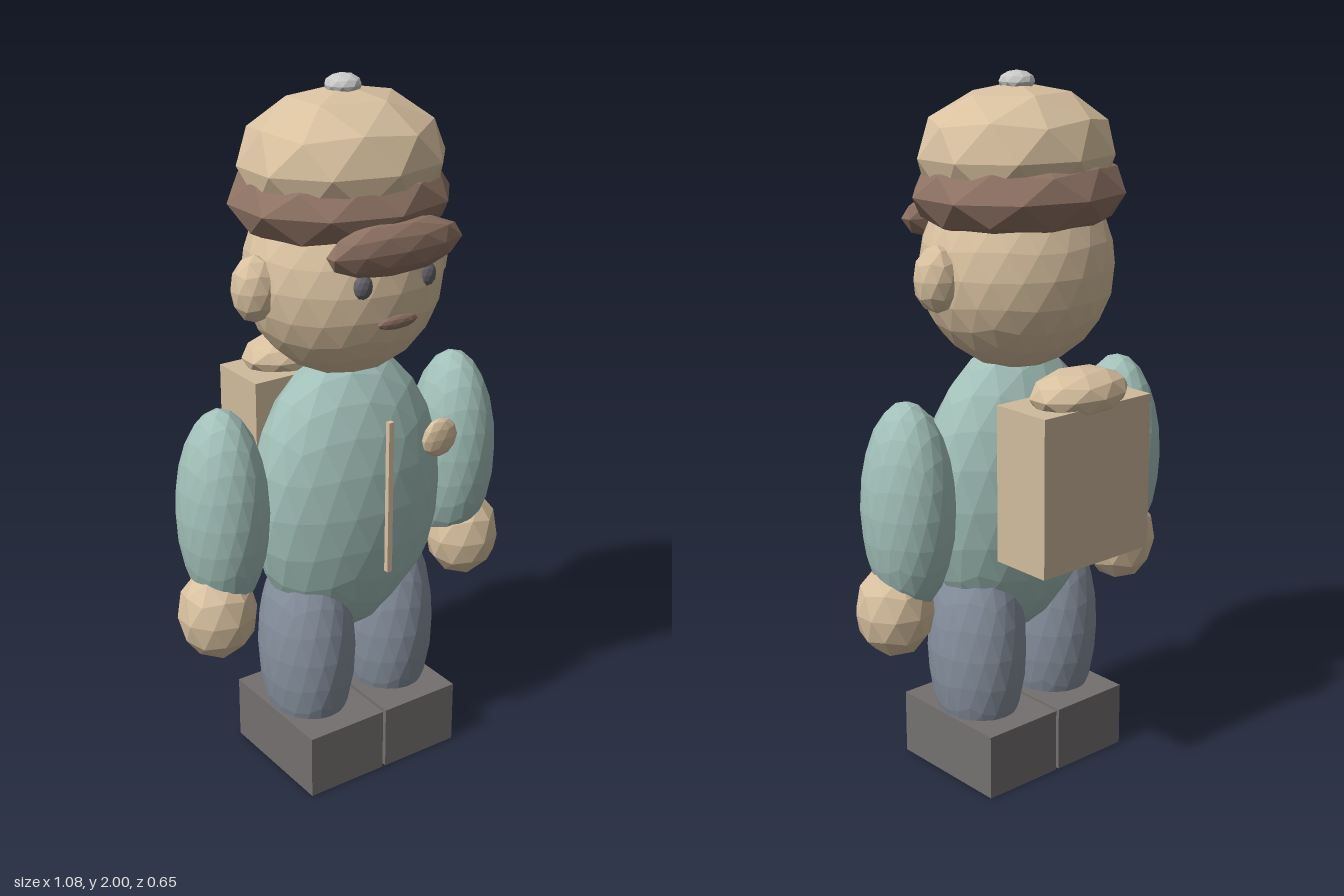
import * as THREE from 'three';

const mat = (name, hex) => {
  const m = new THREE.MeshStandardMaterial({ color: hex });
  m.name = name;
  return m;
};

export function createModel() {
  const skin = mat('tan skin and cap', 0xd9c1a0);
  const pack = mat('pack beige', 0xd0bb9d);
  const brown = mat('brown trim', 0x8f7364);
  const shirt = mat('sage shirt', 0xa2c0b9);
  const trouser = mat('slate trousers', 0x87919f);
  const boot = mat('boot grey', 0x747070);
  const silver = mat('silver button', 0xc8c8c6);
  const dark = mat('eye grey', 0x66646a);

  const root = new THREE.Group();
  root.name = 'figure';

  const add = (name, geo, material, pos) => {
    const mesh = new THREE.Mesh(geo, material);
    mesh.name = name;
    mesh.position.set(...pos);
    root.add(mesh);
  };

  // Faceted ellipsoid standing on a pole vertex, one normal per face
  const blob = (name, material, pos, radii, detail = 1) => {
    const geo = new THREE.IcosahedronGeometry(1, detail);
    geo.rotateZ(-Math.atan(2 / (1 + Math.sqrt(5))));
    geo.scale(...radii);
    geo.computeVertexNormals();
    add(name, geo, material, pos);
  };
  const box = (name, material, pos, size) =>
    add(name, new THREE.BoxGeometry(...size), material, pos);

  // Torso and head
  blob('torso', shirt, [0, 0.83, 0.05], [0.3, 0.43, 0.19], 3);
  blob('head', skin, [0, 1.475, 0.03], [0.28, 0.285, 0.26], 3);

  // Cap
  blob('capDome', skin, [0, 1.78, 0.03], [0.295, 0.19, 0.25]);
  blob('capBand', brown, [0, 1.68, 0.02], [0.316, 0.14, 0.275]);
  blob('capBrim', brown, [0, 1.595, 0.265], [0.214, 0.076, 0.058]);
  blob('capButton', silver, [0, 1.97, 0.03], [0.05, 0.03, 0.05]);

  // Face
  blob('mouth', brown, [0, 1.397, 0.278], [0.065, 0.02, 0.014]);

  // Paired parts
  for (const [side, s] of [['left', 1], ['right', -1]]) {
    blob(side + 'Eye', dark, [s * 0.102, 1.505, 0.265], [0.028, 0.034, 0.02]);
    blob(side + 'Ear', skin, [s * 0.28, 1.472, 0.032], [0.066, 0.092, 0.063]);
    blob(side + 'Arm', shirt, [s * 0.395, 0.86, 0.028], [0.125, 0.3, 0.138], 3);
    blob(side + 'Hand', skin, [s * 0.432, 0.572, 0.047], [0.113, 0.137, 0.11]);
    blob(side + 'Leg', trouser, [s * 0.14, 0.38, 0.05], [0.135, 0.33, 0.156], 3);
    box(side + 'Boot', boot, [s * 0.13, 0.095, 0.05], [0.25, 0.19, 0.39]);
  }

  // Jacket details
  box('zip', skin, [0, 0.88, 0.252], [0.016, 0.45, 0.015]);
  blob('badge', skin, [0.205, 0.995, 0.21], [0.06, 0.058, 0.022]);

  // Backpack with rolled top
  box('backpack', pack, [0, 0.918, -0.205], [0.392, 0.446, 0.19]);
  blob('bedroll', skin, [0, 1.165, -0.222], [0.16, 0.07, 0.104]);

  return root;
}
